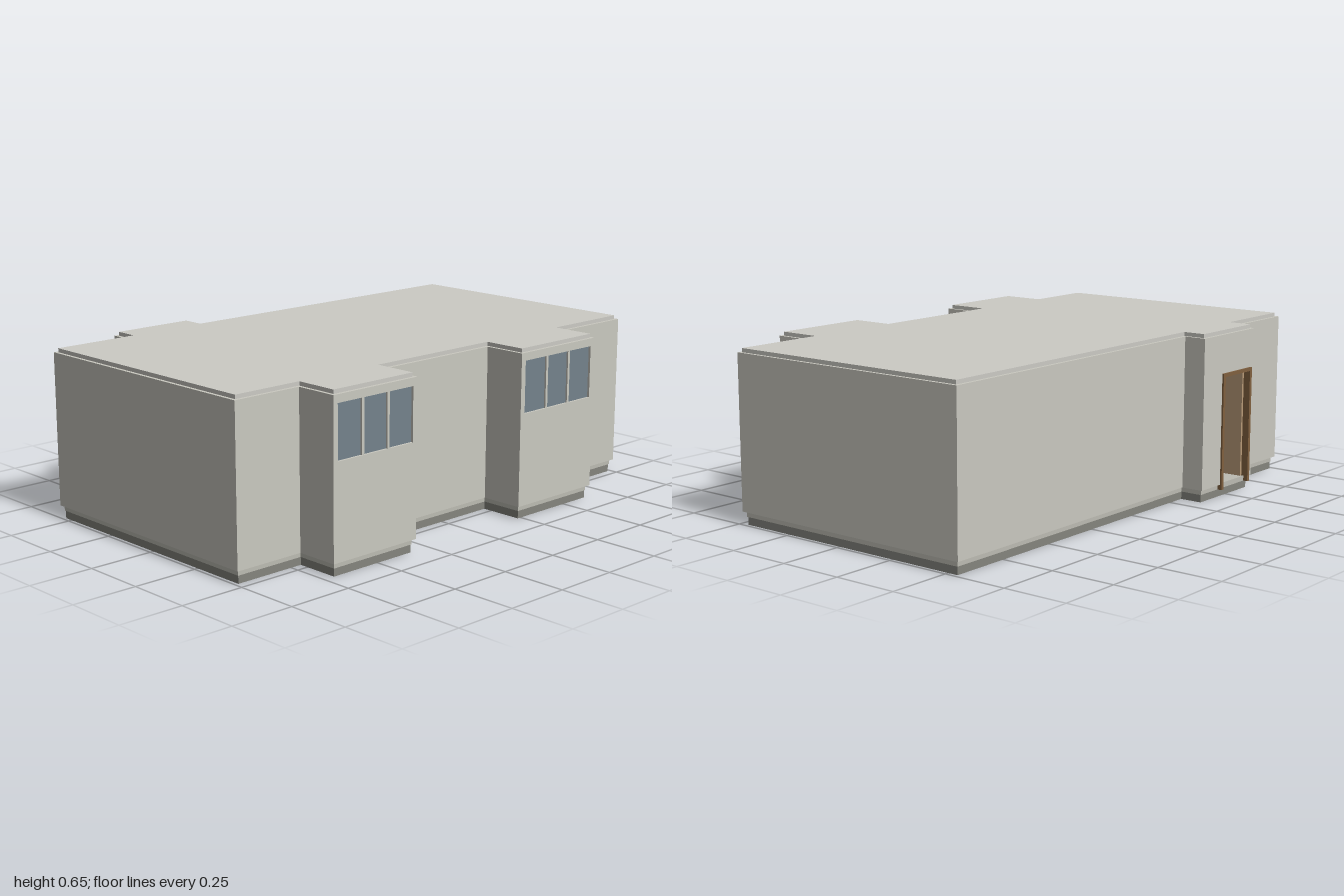
import * as THREE from 'three';

const T = 0.02;            // wall thickness
const Y0 = 0.05, Y1 = 0.635; // wall bottom and top

const mat = (color) => new THREE.MeshStandardMaterial({ color });
const M = {
  wall: mat(0xcac9c0), roof: mat(0xcccbc5), slab: mat(0xbdbcb3), plinth: mat(0x85857e),
  glass: mat(0x74828c), frame: mat(0x80603f), door: mat(0xb89a78),
  red: mat(0xb0201c), metal: mat(0x444444), table: mat(0xe4e4e0),
};

// Outline as [x, z], walked so that the outside is on the right-hand side
const outline = [
  [-1, 0.48], [-0.72, 0.48], [-0.72, 0.648], [-0.325, 0.648], [-0.325, 0.48],
  [0.22, 0.48], [0.22, 0.648], [0.638, 0.648], [0.638, 0.48], [1, 0.48],
  [1, -0.555], [-0.31, -0.555], [-0.31, -0.643], [-0.66, -0.643], [-0.66, -0.55], [-1, -0.55],
];
const N = outline.length;
const at = (i) => outline[(i + N) % N];

// Unit direction of the wall that starts at corner i
function dir(i) {
  const [ax, az] = at(i), [bx, bz] = at(i + 1);
  const l = Math.hypot(bx - ax, bz - az);
  return [(bx - ax) / l, (bz - az) / l, l];
}

// True where the outline turns inward at corner i
function isInner(i) {
  const p = dir(i - 1), n = dir(i);
  return p[0] * n[1] - p[1] * n[0] > 0;
}

function add(parent, name, geo, material, x = 0, y = 0, z = 0) {
  const m = new THREE.Mesh(geo, material);
  m.name = name;
  m.position.set(x, y, z);
  parent.add(m);
  return m;
}
function box(parent, name, material, w, h, d, x, y, z) {
  return add(parent, name, new THREE.BoxGeometry(w, h, d), material, x, y, z);
}

// Horizontal slab following the outline, pulled in by inset
function slab(parent, name, material, y0, y1, inset) {
  const pts = outline.map(([x, z], i) => {
    const a = dir(i - 1), b = dir(i);
    return new THREE.Vector2(x + inset * (a[1] + b[1]), -(z - inset * (a[0] + b[0])));
  });
  const geo = new THREE.ExtrudeGeometry(new THREE.Shape(pts), { depth: y1 - y0, bevelEnabled: false });
  geo.rotateX(-Math.PI / 2);
  add(parent, name, geo, material, 0, y0, 0);
}

// One wall, with an optional window or door opening [x0, x1, y0, y1] along it
function wall(parent, i, opening) {
  const [dx, dz, len] = dir(i);
  const g = new THREE.Group();
  g.name = 'wall';
  g.position.set(at(i)[0], 0, at(i)[1]);
  g.rotation.y = Math.atan2(-dz, dx);
  parent.add(g);

  const s = isInner(i) ? -T : 0, e = len + (isInner(i + 1) ? T : 0);
  const shape = new THREE.Shape().moveTo(s, Y0);
  if (opening && opening.door) {
    const [a, b, , top] = opening.rect;
    shape.lineTo(a, Y0).lineTo(a, top).lineTo(b, top).lineTo(b, Y0);
  }
  shape.lineTo(e, Y0).lineTo(e, Y1).lineTo(s, Y1).closePath();
  if (opening && !opening.door) {
    const [a, b, y0, y1] = opening.rect;
    shape.holes.push(new THREE.Path().moveTo(a, y0).lineTo(a, y1).lineTo(b, y1).lineTo(b, y0).closePath());
  }
  add(g, 'wallPanel', new THREE.ExtrudeGeometry(shape, { depth: T, bevelEnabled: false }), M.wall, 0, 0, -T);
  return g;
}

// Three panes with two mullions between them
function windowIn(g, [a, b, y0, y1]) {
  const w = b - a, h = y1 - y0, cy = (y0 + y1) / 2;
  box(g, 'windowGlass', M.glass, w, h, 0.006, (a + b) / 2, cy, -0.012);
  for (const k of [1, 2]) box(g, 'windowMullion', M.wall, 0.011, h, 0.014, a + (w * k) / 3, cy, -0.009);
}

function doorIn(g, [a, b, , top]) {
  const f = 0.014, y0 = 0.03, h = top - y0, z = -0.008, d = 0.03;
  for (const x of [a + f / 2, b - f / 2]) box(g, 'doorJamb', M.frame, f, h, d, x, y0 + h / 2, z);
  box(g, 'doorHead', M.frame, b - a, f, d, (a + b) / 2, top - f / 2, z);
  // leaf swung open into the room
  const lw = b - a - 2 * f;
  box(g, 'doorLeaf', M.door, 0.01, top - f - Y0, lw, b - f - 0.006, (top - f + Y0) / 2, -T - lw / 2);
}

// Chair facing its own +z
function chair(parent, x, z, turn) {
  const g = new THREE.Group();
  g.name = 'chair';
  g.position.set(x, Y0, z);
  g.rotation.y = turn;
  parent.add(g);
  box(g, 'chairSeat', M.red, 0.095, 0.012, 0.09, 0, 0.1, 0);
  box(g, 'chairBack', M.red, 0.095, 0.085, 0.01, 0, 0.155, -0.045).rotation.x = -0.1;
  const leg = new THREE.CylinderGeometry(0.004, 0.004, 0.1, 6);
  for (const sx of [-1, 1]) for (const sz of [-1, 1]) add(g, 'chairLeg', leg, M.metal, sx * 0.04, 0.05, sz * 0.04);
}

function tableSet(parent, x, z) {
  const g = new THREE.Group();
  g.name = 'tableSet';
  g.position.set(x, 0, z);
  parent.add(g);
  box(g, 'tableTop', M.table, 0.34, 0.014, 0.2, 0, 0.2, 0);
  const leg = new THREE.CylinderGeometry(0.006, 0.006, 0.145, 8);
  for (const sx of [-1, 1]) for (const sz of [-1, 1]) add(g, 'tableLeg', leg, M.metal, sx * 0.15, 0.122, sz * 0.08);
  for (const sx of [-1, 1]) {
    chair(g, sx * 0.08, -0.15, 0);
    chair(g, sx * 0.08, 0.15, Math.PI);
  }
}

export function createModel() {
  const model = new THREE.Group();
  model.name = 'building';

  // Base, floor and roof
  slab(model, 'plinth', M.plinth, 0, 0.03, 0.014);
  slab(model, 'floor', M.slab, 0.03, Y0, 0.011);
  slab(model, 'roof', M.roof, Y1, 0.65, 0.012);

  // Walls, with windows in the two front bays and a door in the rear porch
  const openings = {
    2: { rect: [0.02, 0.377, 0.405, 0.605] },
    6: { rect: [0.022, 0.397, 0.405, 0.605] },
    12: { rect: [0.127, 0.329, Y0, 0.485], door: true },
  };
  for (let i = 0; i < N; i++) {
    const o = openings[i];
    const g = wall(model, i, o);
    if (o) (o.door ? doorIn : windowIn)(g, o.rect);
  }

  // Furniture seen through the open door
  tableSet(model, -0.29, -0.23);
  return model;
}
